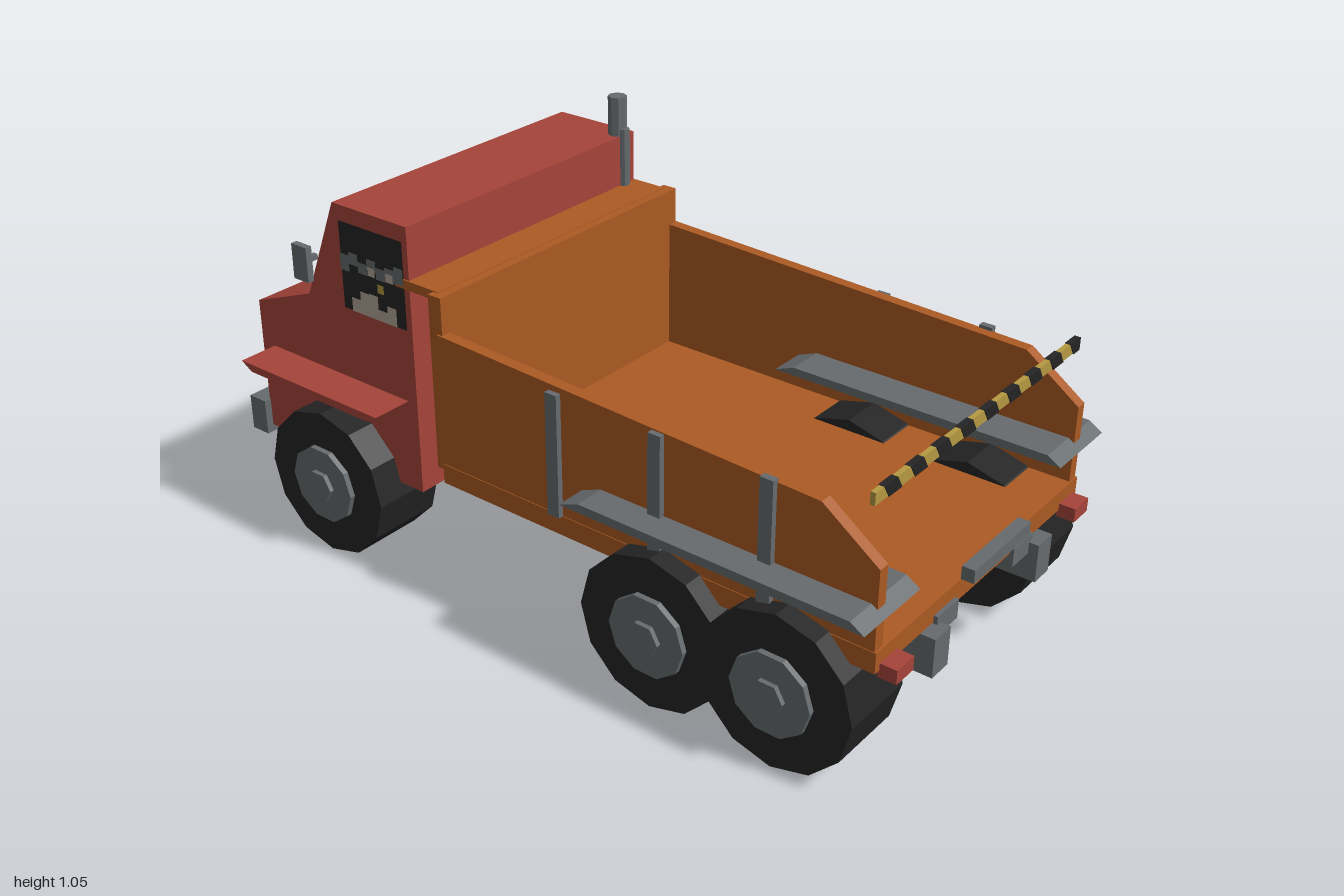
import * as THREE from 'three';
import { mergeGeometries } from 'three/addons/utils/BufferGeometryUtils.js';

const mat = (name, color) => Object.assign(new THREE.MeshStandardMaterial({ color }), { name });

export function createModel() {
  const truck = new THREE.Group();
  truck.name = 'dumpTruck';
  const red = mat('cabRed', 0xa5443a), orange = mat('bedOrange', 0xab5a23);
  const grey = mat('metalGrey', 0x666b6e), black = mat('rubberBlack', 0x242424);
  const yellow = mat('warningYellow', 0xb59a42), cream = mat('lampCream', 0xb0a597);

  const add = (name, geo, material, parent = truck) => {
    const mesh = new THREE.Mesh(geo, material);
    mesh.name = name;
    parent.add(mesh);
    return mesh;
  };
  // Box given by its limits on each axis
  const box = (name, material, [x0, x1], [y0, y1], [z0, z1]) => {
    const g = new THREE.BoxGeometry(x1 - x0, y1 - y0, z1 - z0);
    g.translate((x0 + x1) / 2, (y0 + y1) / 2, (z0 + z1) / 2);
    return add(name, g, material);
  };
  // Same box on both sides of the truck
  const pair = (name, material, [x0, x1], y, z) => {
    box(name + 'Left', material, [x0, x1], y, z);
    box(name + 'Right', material, [-x1, -x0], y, z);
  };
  // Side profile of [z, y] points, extruded across x
  const slab = (name, material, points, x0, x1) => {
    const shape = new THREE.Shape(points.map(([z, y]) => new THREE.Vector2(z, y)));
    const g = new THREE.ExtrudeGeometry(shape, { depth: x1 - x0, bevelEnabled: false });
    g.translate(0, 0, -(x1 - x0) / 2).rotateY(-Math.PI / 2).translate((x0 + x1) / 2, 0, 0);
    return add(name, g, material);
  };
  const slabPair = (name, material, points, x0, x1) => {
    slab(name + 'Left', material, points, x0, x1);
    slab(name + 'Right', material, points, -x1, -x0);
  };
  // Faceted cylinder
  const facet = (r, length, sides) => {
    const g = new THREE.CylinderGeometry(r, r, length, sides).toNonIndexed();
    g.computeVertexNormals();
    return g;
  };

  // Chassis and front bumper
  pair('chassisRail', grey, [0.2, 0.265], [0.215, 0.315], [-0.8, 0.99]);
  box('frontBumper', grey, [-0.44, 0.44], [0.215, 0.312], [-1, -0.942]);
  pair('rearBracket', grey, [0.125, 0.215], [0.285, 0.335], [0.88, 0.965]);
  add('bedPivot', facet(0.035, 0.03, 8), grey).position.set(0, 0.305, 0.07);

  // Cab
  slab('cab', red, [[-0.38, 0.235], [-0.38, 0.95], [-0.63, 0.95], [-0.743, 0.677],
    [-0.945, 0.6], [-0.945, 0.235]], -0.42, 0.42);
  slabPair('frontFender', red, [[-0.41, 0.483], [-0.9, 0.483], [-0.865, 0.462], [-0.445, 0.462]], 0.41, 0.53);

  // Exhaust stack
  add('exhaustPipe', facet(0.015, 0.3, 8), grey).position.set(0.378, 0.82, -0.378);
  add('exhaustStack', facet(0.025, 0.11, 8), grey).position.set(0.378, 1.0, -0.4);

  // Windows: dark panes with patchy pale shapes behind the lower half
  let seed = 7;
  const random = () => (seed = (seed * 16807) % 2147483647) / 2147483647;
  const windowPane = (name, w, h) => {
    const group = new THREE.Group();
    group.name = name;
    const pane = new THREE.PlaneGeometry(w, h);
    add('glass', pane.translate(0, 0, 0.003), black, group);
    const patches = { cream: [], grey: [], gold: [] };
    const patch = (key, x, y, pw, ph, lift) => {
      patches[key].push(new THREE.PlaneGeometry(pw, ph).translate(x, y, lift));
    };
    const n = Math.round(w / 0.032), step = w / n;
    for (let i = 0; i < n; i++) {
      const x = -w / 2 + (i + 0.5) * step;
      const ch = h * (0.12 + 0.3 * random());
      if (random() < 0.75) patch('cream', x, -h / 2 + ch / 2, step, ch, 0.005);
      const gh = h * (0.06 + 0.14 * random());
      patch('grey', x, h * (0.02 + 0.12 * random()), step, gh, 0.006);
      if (random() < 0.5) patch('cream', x, h * 0.05 * random(), step * 0.8, h * 0.1, 0.007);
      if (i % 6 === 4) patch('gold', x, -h * 0.12, step * 0.7, h * 0.1, 0.008);
    }
    const paint = { cream, grey, gold: yellow };
    for (const key in patches) {
      if (patches[key].length) add(key + 'Patches', mergeGeometries(patches[key]), paint[key], group);
    }
    truck.add(group);
    return group;
  };
  const slope = new THREE.Vector3(0, 0.273, 0.113).normalize();
  const across = new THREE.Vector3(-1, 0, 0);
  const windshield = windowPane('windshield', 0.76, 0.25);
  windshield.quaternion.setFromRotationMatrix(
    new THREE.Matrix4().makeBasis(across, slope, across.clone().cross(slope)));
  windshield.position.set(0, 0.806, -0.6895);
  for (const s of [1, -1]) {
    const side = windowPane(s > 0 ? 'sideWindowLeft' : 'sideWindowRight', 0.215, 0.23);
    side.rotation.y = s * Math.PI / 2;
    side.position.set(s * 0.42, 0.795, -0.502);
  }

  // Mirrors
  pair('mirrorArm', grey, [0.41, 0.45], [0.776, 0.79], [-0.725, -0.71]);
  pair('mirror', grey, [0.445, 0.463], [0.735, 0.828], [-0.742, -0.69]);

  // Grille and headlights
  for (let i = 0; i < 6; i++) {
    const y = 0.34 + i * 0.038;
    box('grilleBar', grey, [-0.215, 0.215], [y - 0.009, y + 0.009], [-0.96, -0.945]);
  }
  pair('grilleFrame', grey, [0.212, 0.225], [0.33, 0.54], [-0.96, -0.945]);
  pair('headlightRim', grey, [0.277, 0.367], [0.38, 0.452], [-0.958, -0.945]);
  pair('headlight', cream, [0.287, 0.357], [0.389, 0.443], [-0.964, -0.957]);

  // Dump bed
  box('bedFloor', orange, [-0.45, 0.45], [0.318, 0.37], [-0.27, 0.955]);
  slabPair('bedWall', orange, [[0.95, 0.36], [0.95, 0.57], [0.805, 0.675], [-0.27, 0.717], [-0.27, 0.36]], 0.418, 0.448);
  box('bedFrontWall', orange, [-0.443, 0.443], [0.35, 0.812], [-0.296, -0.256]);
  box('bedCanopy', orange, [-0.424, 0.424], [0.79, 0.814], [-0.425, -0.28]);
  for (const z of [0.68, 0.387, 0.094]) {
    pair('bedRib', grey, [0.445, 0.463], [0.37, 0.688], [z - 0.017, z + 0.017]);
  }

  // Rear mudguards, step and lamps
  slabPair('rearMudguard', grey, [[0.97, 0.462], [0.935, 0.484], [0.225, 0.484], [0.17, 0.462]], 0.313, 0.528);
  box('rearStep', grey, [-0.126, 0.126], [0.386, 0.42], [0.965, 0.997]);
  pair('tailLamp', red, [0.365, 0.432], [0.3, 0.336], [0.95, 0.997]);

  // Striped warning bar
  box('warningBar', yellow, [-0.44, 0.44], [0.705, 0.735], [0.911, 0.923]);
  for (let i = 0; i < 9; i++) {
    const x = -0.41 + i * 0.1;
    const stripe = new THREE.Shape([[x + 0.02, 0.704], [x + 0.07, 0.704], [x + 0.05, 0.736], [x, 0.736]]
      .map(([a, b]) => new THREE.Vector2(Math.min(a, 0.44), b)));
    const g = new THREE.ExtrudeGeometry(stripe, { depth: 0.016, bevelEnabled: false });
    add('warningStripe', g.translate(0, 0, 0.909), black);
  }

  // Wheels: tire, hub disc and hub cap
  for (const s of [1, -1]) {
    for (const z of [0.74, 0.405, -0.65]) {
      const wheel = new THREE.Group();
      wheel.name = 'wheel';
      wheel.position.set(s * 0.4, 0.2, z);
      wheel.rotation.z = -s * Math.PI / 2;
      add('tire', facet(0.2, 0.2, 12), black, wheel);
      add('hub', facet(0.105, 0.03, 10), grey, wheel).position.y = 0.1;
      add('hubCap', facet(0.043, 0.03, 6), grey, wheel).position.y = 0.112;
      truck.add(wheel);
    }
  }
  return truck;
}
